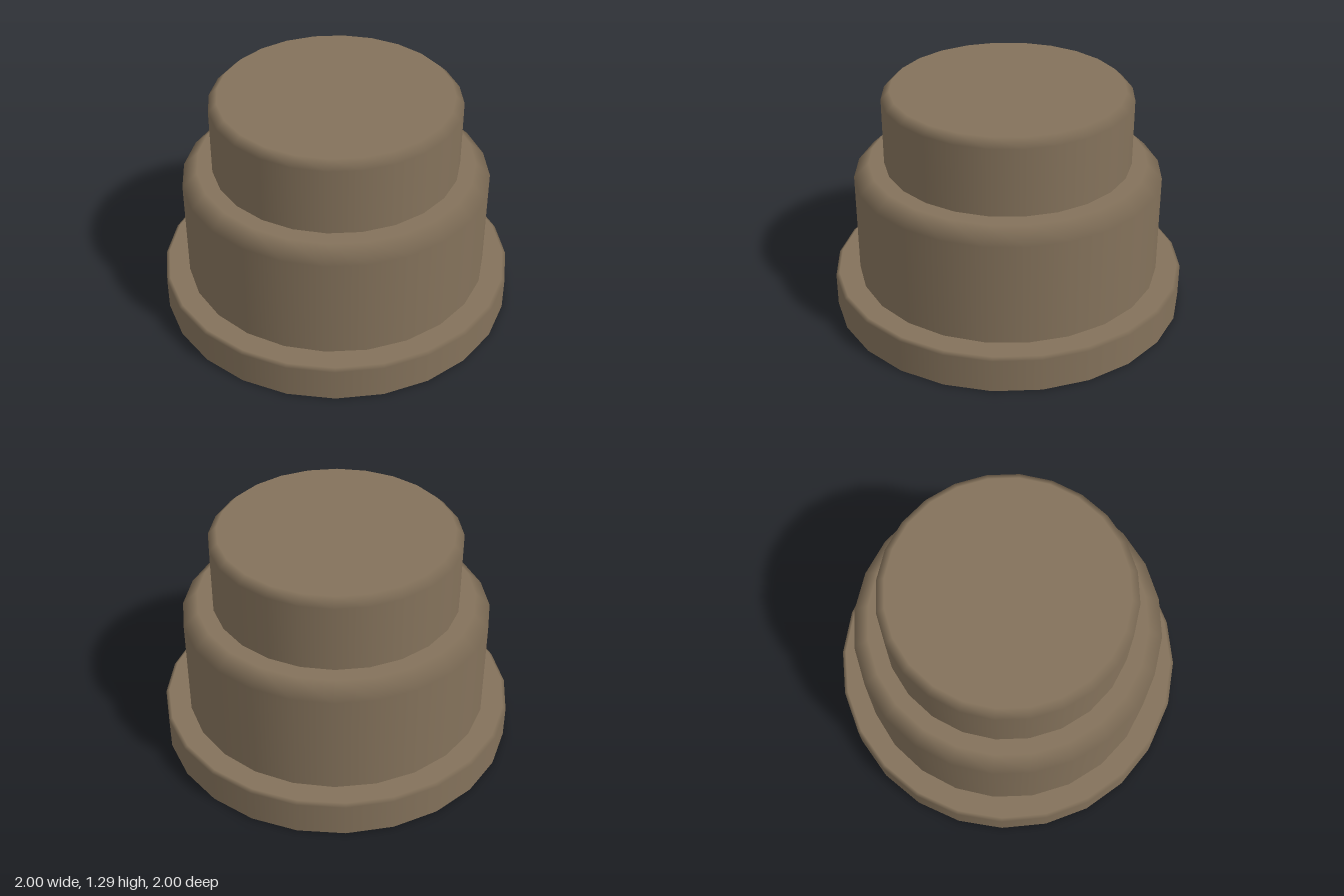
import * as THREE from 'three';

const SIDES = 24;

// Open-bottomed drum with a softly shaded chamfer around its flat top
function drum(name, radius, bottom, shoulder, topRadius, top, material) {
  const profile = [[radius, bottom], [radius, shoulder], [topRadius, top], [0, top]];
  const geometry = new THREE.LatheGeometry(profile.map(([x, y]) => new THREE.Vector2(x, y)), SIDES);
  // Wall normals stay level and top normals point up, so only the chamfer blends
  const normal = geometry.attributes.normal;
  for (let i = 0; i < normal.count; i++) {
    const angle = Math.floor(i / profile.length) / SIDES * Math.PI * 2;
    if (i % profile.length < 2) normal.setXYZ(i, Math.sin(angle), 0, Math.cos(angle));
    else normal.setXYZ(i, 0, 1, 0);
  }
  const mesh = new THREE.Mesh(geometry, material);
  mesh.name = name;
  return mesh;
}

export function createModel() {
  const brown = new THREE.MeshStandardMaterial({ color: 0x84725b, side: THREE.DoubleSide });
  brown.name = 'dull brown';

  const model = new THREE.Group();
  model.name = 'steppedCap';

  // Wide base flange, its facets turned slightly against the other tiers
  const flange = drum('baseFlange', 1, 0, 0.19, 0.98, 0.205, brown);
  flange.rotation.y = THREE.MathUtils.degToRad(3.5);

  // Upper tiers sink a little way into the tier below
  model.add(
    flange,
    drum('middleTier', 0.86, 0.14, 0.785, 0.775, 0.865, brown),
    drum('topTier', 0.69, 0.8, 1.245, 0.643, 1.29, brown),
  );
  return model;
}
